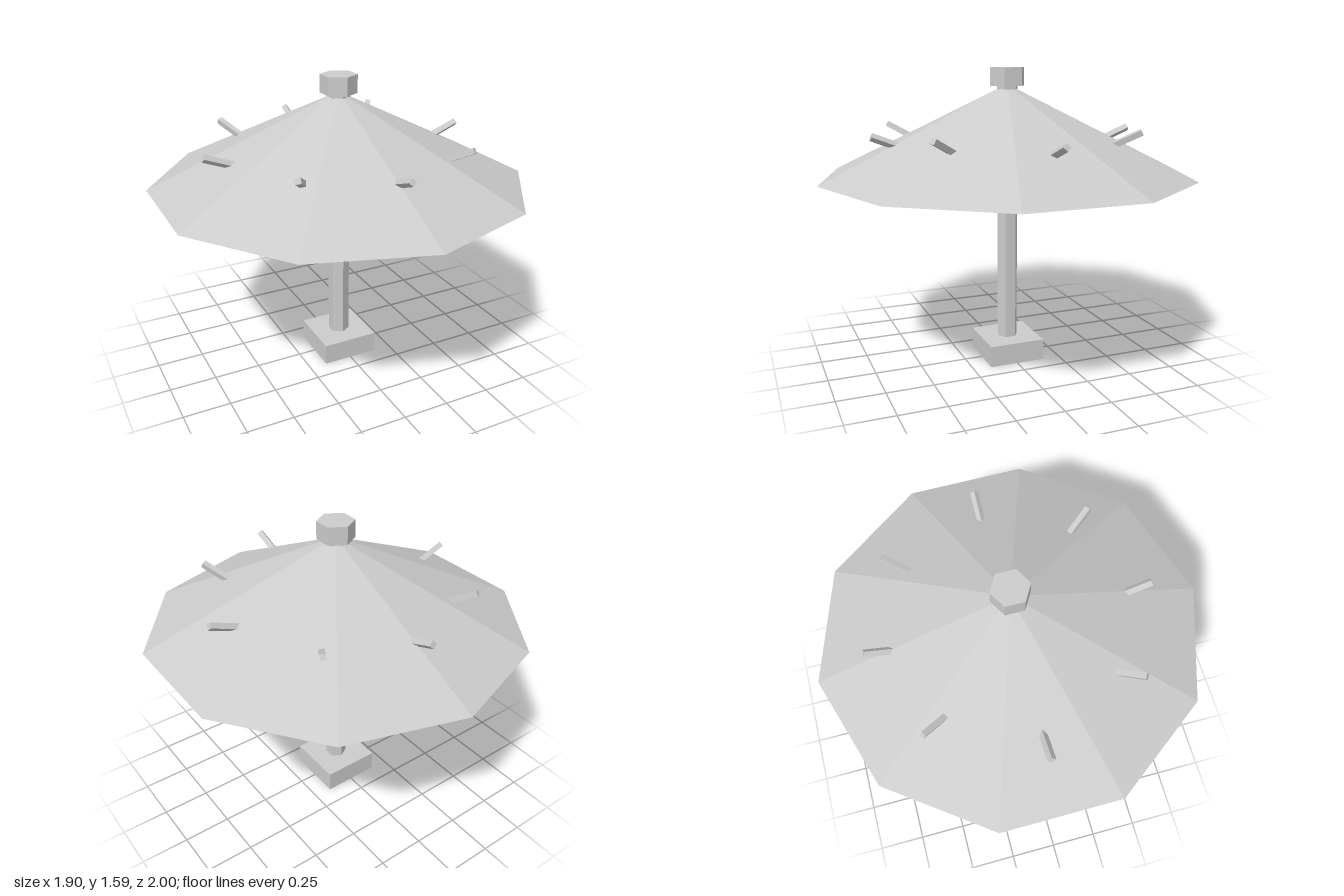
import * as THREE from 'three';

const material = new THREE.MeshStandardMaterial({ color: 0xcccccc, flatShading: true });

export function createModel() {
  const model = new THREE.Group();
  model.name = 'parasol';

  const add = (name, geometry, x, y, z) => {
    const mesh = new THREE.Mesh(geometry, material);
    mesh.name = name;
    mesh.position.set(x, y, z);
    model.add(mesh);
    return mesh;
  };

  // Square foot and hexagonal pole
  add('base', new THREE.BoxGeometry(0.31, 0.115, 0.306), 0, 0.0575, 0);
  add('pole', new THREE.CylinderGeometry(0.057, 0.057, 1.39, 6), 0, 0.805, 0);

  // Ten-sided closed canopy with a hexagonal cap
  add('canopy', new THREE.ConeGeometry(1, 0.48, 10), 0, 1.262, 0);
  add('finial', new THREE.CylinderGeometry(0.096, 0.096, 0.095, 6), 0, 1.542, 0);

  // Eight diamond-section ribs, leaning outward through the canopy
  const ribGeometry = new THREE.CylinderGeometry(0.021, 0.021, 0.57, 4);
  const ribCount = 8, ribRadius = 0.46, lean = 1.2;
  for (let i = 0; i < ribCount; i++) {
    const a = (i / ribCount) * Math.PI * 2;
    const c = Math.cos(a), s = Math.sin(a);
    const rib = add(`rib${i + 1}`, ribGeometry, c * ribRadius, 1.15, s * ribRadius);
    rib.rotation.set(s * lean, 0, -c * lean, 'ZYX');
  }

  return model;
}
